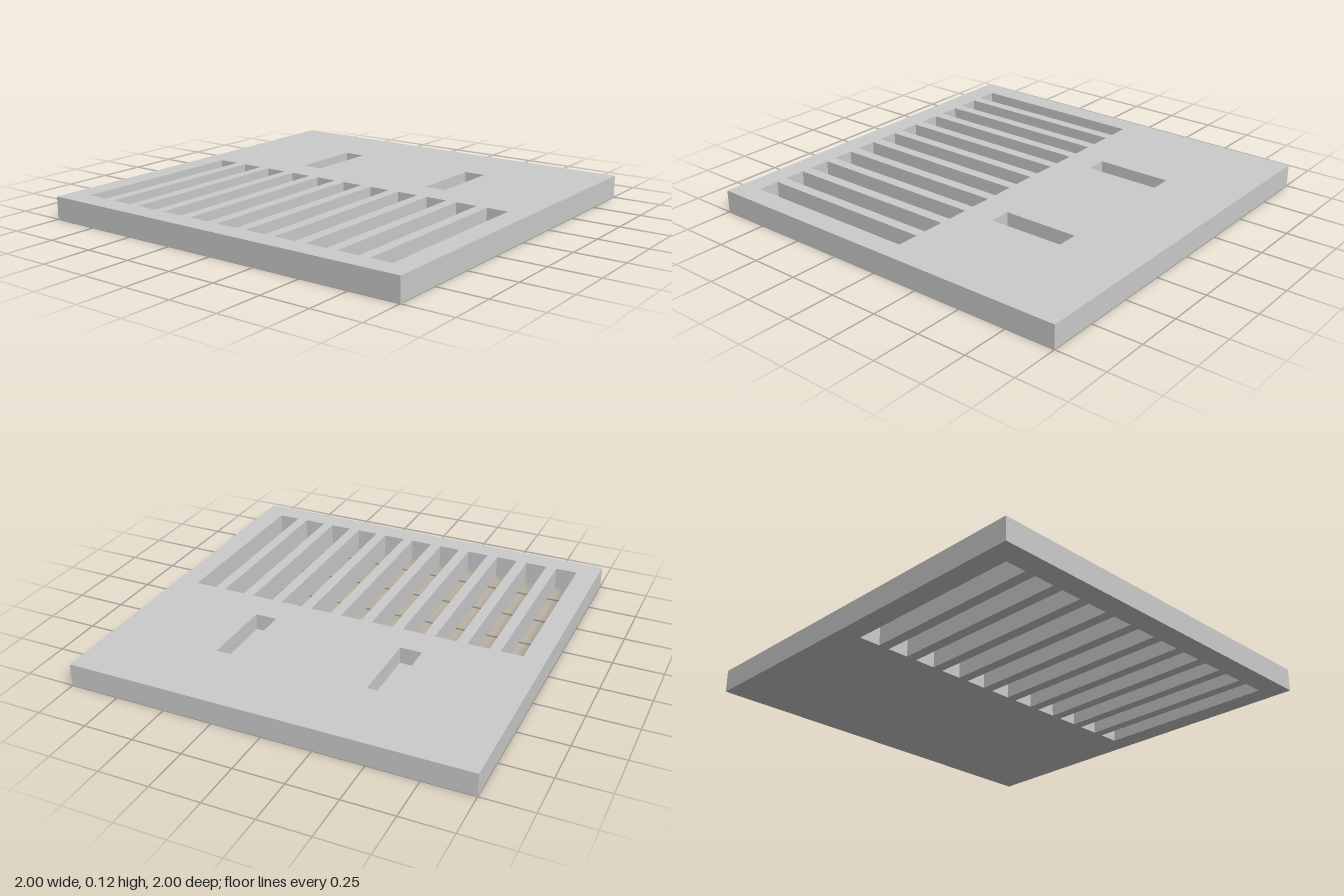
import * as THREE from 'three';

const U = 1 / 18;           // layout module of the plate
const HEIGHT = 0.115;
const POCKET_FLOOR = 0.03;  // thickness left under the blind pockets
const SLOT_COUNT = 11;

// Rectangular outline, in plan, with x range and centre/width across
function rect(PathType, x0, x1, centre, width) {
  const a = centre - width / 2, b = centre + width / 2;
  return new PathType([
    new THREE.Vector2(x0, a), new THREE.Vector2(x1, a),
    new THREE.Vector2(x1, b), new THREE.Vector2(x0, b),
  ]);
}

export function createModel() {
  const group = new THREE.Group();
  group.name = 'slottedPlate';
  const material = new THREE.MeshStandardMaterial({ color: 0xcccccc });

  // Square plate with a row of through slots on one half
  const outline = rect(THREE.Shape, -1, 1, 0, 2);
  for (let i = 0; i < SLOT_COUNT; i++) {
    const z = (i - (SLOT_COUNT - 1) / 2) * 3 * U;
    outline.holes.push(rect(THREE.Path, -16 * U, U, z, 2 * U));
  }

  // Two blind pockets on the other half, each closed by a floor
  const x0 = 4 * U, x1 = 11 * U;
  for (const side of [-1, 1]) {
    const z = side * 7 * U;
    outline.holes.push(rect(THREE.Path, x0, x1, z, 2 * U));
    const floor = new THREE.Mesh(new THREE.BoxGeometry(x1 - x0, POCKET_FLOOR, 2 * U), material);
    floor.position.set((x0 + x1) / 2, POCKET_FLOOR / 2, z);
    floor.name = side < 0 ? 'rearPocketFloor' : 'frontPocketFloor';
    group.add(floor);
  }

  const geometry = new THREE.ExtrudeGeometry(outline, { depth: HEIGHT, bevelEnabled: false });
  geometry.rotateX(-Math.PI / 2);
  const plate = new THREE.Mesh(geometry, material);
  plate.name = 'plate';
  group.add(plate);
  return group;
}
